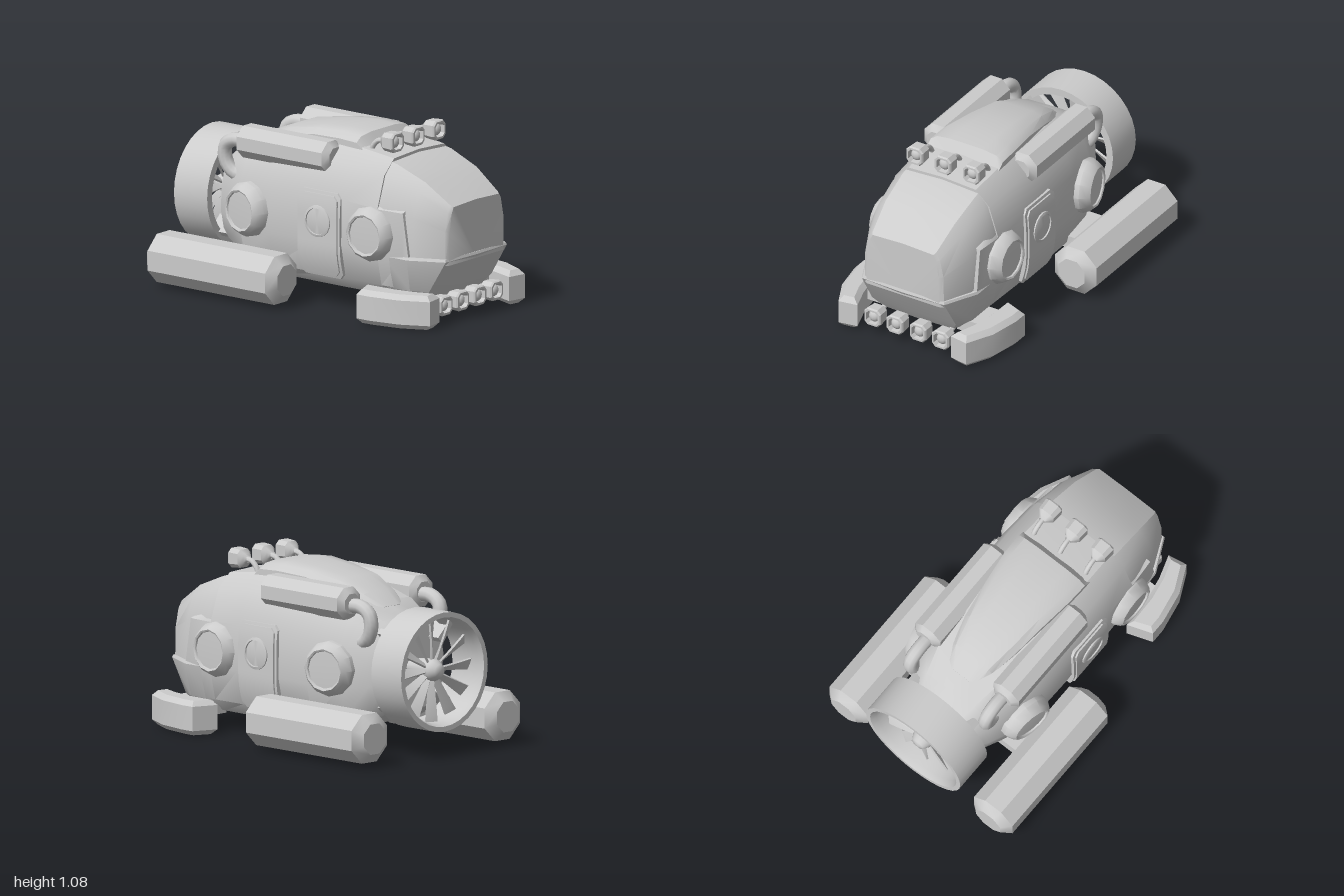
import * as THREE from 'three';
import { toCreasedNormals } from 'three/addons/utils/BufferGeometryUtils.js';

const mat = new THREE.MeshStandardMaterial({ color: 0xcccccc, side: THREE.DoubleSide });

// Loft along x: each section is [x, [z, y] points of the +z half, bottom to top]
function loft(sections) {
  const rings = sections.map(([x, half]) => {
    const mirrored = half.slice(1, -1).reverse().map(([z, y]) => [-z, y]);
    return [...half, ...mirrored].map(([z, y]) => new THREE.Vector3(x, y, z));
  });
  const n = rings[0].length, index = [];
  for (let i = 0; i < rings.length - 1; i++) {
    for (let j = 0; j < n; j++) {
      const a = i * n + j, b = i * n + (j + 1) % n;
      index.push(a, a + n, b + n, a, b + n, b);
    }
  }
  const last = (rings.length - 1) * n;
  for (let j = 1; j < n - 1; j++) index.push(0, j, j + 1, last, last + j + 1, last + j);
  return new THREE.BufferGeometry().setFromPoints(rings.flat()).setIndex(index);
}

// Hull section from bottom, top and half width; cap cuts it off level
function hullSection([x, b, t, w, cap = t]) {
  const y = f => Math.min(cap, b + (t - b) * f);
  return [x, [[0, b], [w * 0.69, b], [w * 0.89, y(0.09)], [w, y(0.33)], [w * 0.985, y(0.65)], [w * 0.825, y(0.88)], [w * 0.59, y(0.985)], [0, y(1)]]];
}

// Canopy section from top, lower and upper half width
function canopySection([x, t, w, wt]) {
  const y = f => 0.36 + (t - 0.36) * f;
  return [x, [[0, 0.36], [w, 0.36], [w * 0.985, y(0.56)], [(w + wt) / 2, y(0.86)], [wt, y(0.975)], [0, t]]];
}

const lathe = (points, sides, phi = 0) =>
  new THREE.LatheGeometry(points.map(p => new THREE.Vector2(...p)), sides, phi);

// Lathe turned so that its axis runs along +x
const latheX = (points, sides, phi) => lathe(points, sides, phi).rotateZ(-Math.PI / 2);

function tank(length, r) {
  const h = length / 2, c = r * 0.3;
  return latheX([[0, -h], [r * 0.62, -h], [r, -h + c], [r, h - c], [r * 0.62, h], [0, h]], 8, Math.PI / 8);
}

const tube = (pts, r) => new THREE.TubeGeometry(
  new THREE.CatmullRomCurve3(pts.map(p => new THREE.Vector3(...p))), 16, r, 10);

// Door panel with cut corners, curved with the hull side
function doorPanel(w, h, out) {
  const g = new THREE.BoxGeometry(w, h, 0.08, 1, 18, 1);
  const p = g.attributes.position;
  for (let i = 0; i < p.count; i++) {
    const x = p.getX(i), y = p.getY(i);
    const edge = Math.max(0, Math.abs(y) - h / 2 + 0.03);
    const bend = Math.max(0, -0.05 - y) ** 2 + 0.8 * Math.max(0, y - 0.12) ** 2;
    p.setX(i, x - Math.sign(x) * edge);
    p.setZ(i, p.getZ(i) - bend + out - 0.04);
  }
  return g.translate(0.14, 0.45, 0);
}

// Propeller blade, widening and untwisting towards the tip
function bladeGeometry() {
  const g = new THREE.BoxGeometry(0.012, 0.26, 0.075, 1, 6, 1);
  const p = g.attributes.position, v = new THREE.Vector3(), axis = new THREE.Vector3(0, 1, 0);
  for (let i = 0; i < p.count; i++) {
    v.fromBufferAttribute(p, i);
    const t = v.y / 0.26 + 0.5;
    v.z *= 0.45 + 0.55 * t;
    v.applyAxisAngle(axis, 0.95 - 0.5 * t);
    p.setXYZ(i, v.x, v.y, v.z);
  }
  return g.translate(0.11, 0.18, 0);
}

export function createModel() {
  const model = new THREE.Group();
  const add = (name, geo, parent = model, crease = 0.6) => {
    const mesh = new THREE.Mesh(toCreasedNormals(geo, crease), mat);
    mesh.name = name;
    parent.add(mesh);
    return mesh;
  };

  // Hull, stepping down at the front to leave a cheek below the canopy
  add('hull', loft([
    [-0.73, 0.26, 0.75, 0.25], [-0.66, 0.22, 0.8, 0.295], [-0.5, 0.15, 0.88, 0.36], [-0.25, 0.12, 0.95, 0.395],
    [0.1, 0.12, 0.98, 0.405], [0.32, 0.12, 0.98, 0.405], [0.56, 0.12, 0.95, 0.395],
    [0.561, 0.12, 0.95, 0.395, 0.73], [0.74, 0.12, 0.95, 0.382, 0.68], [0.78, 0.12, 0.95, 0.38, 0.4],
  ].map(hullSection)));

  // Canopy with a flat front window
  add('canopy', loft([
    [0.5, 0.945, 0.38, 0.25], [0.6, 0.925, 0.38, 0.25], [0.8, 0.845, 0.355, 0.24],
    [0.975, 0.725, 0.275, 0.22], [0.99, 0.715, 0.25, 0.21],
  ].map(canopySection)));

  // Chin: level outlines [y, half width, corner x, front half width, front x], lofted and stood upright
  const chin = loft([
    [0.12, 0.28, 0.74, 0.24, 0.82], [0.19, 0.345, 0.77, 0.29, 0.87], [0.385, 0.387, 0.78, 0.285, 0.99], [0.4, 0.38, 0.78, 0.28, 0.985],
  ].map(([y, w, xc, wf, xf]) => [y, [[0, 0.6], [w, 0.6], [w, xc], [wf, xf], [0, xf + 0.01]]]));
  add('chin', chin.rotateX(Math.PI).rotateZ(Math.PI / 2));

  // Roof fairing: [x, top, half width, base]
  add('roofFairing', loft([
    [-0.56, 0.85, 0.12, 0.78], [-0.45, 0.93, 0.15, 0.82], [-0.28, 0.995, 0.19, 0.88], [-0.05, 1.03, 0.22, 0.93],
    [0.15, 1.045, 0.245, 0.94], [0.29, 1.035, 0.25, 0.94], [0.335, 0.97, 0.25, 0.94],
  ].map(([x, t, w, b]) => [x, [[0, b], [w, b], [w, b + (t - b) * 0.55], [w * 0.82, t - 0.012], [w * 0.45, t], [0, t]]])));

  // Ducted propeller
  const prop = new THREE.Group();
  prop.name = 'propeller';
  prop.position.set(-1, 0.51, 0);
  model.add(prop);
  add('duct', latheX([[0.325, 0], [0.355, 0], [0.355, 0.25], [0.31, 0.25], [0.31, 0.04], [0.325, 0]], 32), prop);
  add('hub', latheX([[0, 0.03], [0.04, 0.04], [0.065, 0.08], [0.065, 0.16], [0.04, 0.3]], 16), prop, 0.9);
  for (let i = 0; i < 12; i++) add('blade', bladeGeometry().rotateX(i * Math.PI / 6), prop);
  for (let i = 0; i < 4; i++) {
    const strut = new THREE.BoxGeometry(0.12, 0.12, 0.04).translate(0.25, 0.27, 0);
    add('ductStrut', strut.rotateX(Math.PI / 4 + i * Math.PI / 2), prop);
  }

  // Lamp pointing along +x, a softened square with a recessed lens
  const shell = latheX([[0.02, -0.12], [0.035, -0.105], [0.058, -0.08], [0.063, -0.01], [0.056, 0], [0.044, 0], [0.04, -0.04], [0, -0.04]], 8, Math.PI / 8);
  const sp = shell.attributes.position;
  for (let i = 0; i < sp.count; i++) {
    const y = sp.getY(i), z = sp.getZ(i);
    if (Math.abs(y) < Math.abs(z)) sp.setY(i, y * 1.4);
    else sp.setZ(i, z * 1.4);
  }
  const lens = new THREE.SphereGeometry(0.036, 12, 8).scale(0.7, 1, 1).translate(-0.03, 0, 0);
  const lamp = (name, x, y, z, stem) => {
    const g = new THREE.Group();
    g.name = name;
    g.position.set(x, y, z);
    add('lampShell', shell, g);
    add('lampLens', lens, g, 1);
    add('lampStem', tube(stem, 0.016), g, 1);
    model.add(g);
  };
  for (const z of [-0.195, 0, 0.195]) {
    lamp('roofLamp', 0.56, 1.025, z, [[-0.1, 0, 0], [-0.15, -0.01, 0], [-0.19, -0.05, 0], [-0.2, -0.09, 0]]);
  }
  for (const z of [-0.235, -0.08, 0.08, 0.235]) {
    lamp('chinLamp', 0.96, 0.11, z, [[-0.1, 0, 0], [-0.14, 0.01, 0], [-0.2, 0.04, 0]]);
  }

  // Front skid outline in x and z
  const skid = new THREE.Shape([[0.52, 0.43], [0.56, 0.53], [0.63, 0.53], [0.82, 0.495], [0.965, 0.425], [0.955, 0.36], [0.84, 0.4], [0.7, 0.425]]
    .map(p => new THREE.Vector2(...p)));

  // Side equipment, built for +z and mirrored
  for (const s of [1, -1]) {
    const side = new THREE.Group();
    side.name = s > 0 ? 'frontSide' : 'backSide';
    side.scale.z = s;
    model.add(side);

    add('upperTank', tank(0.7, 0.103).translate(-0.18, 0.893, 0.295), side);
    add('tankPipe', tube([[-0.5, 0.88, 0.285], [-0.6, 0.88, 0.285], [-0.665, 0.84, 0.285], [-0.67, 0.75, 0.28], [-0.62, 0.68, 0.27], [-0.52, 0.66, 0.25]], 0.043), side, 1);

    add('lowerTank', tank(0.98, 0.157).translate(-0.485, 0.175, 0.545), side);
    add('tankMount', new THREE.BoxGeometry(0.3, 0.08, 0.25).translate(-0.4, 0.2, 0.36), side);

    const skidGeo = new THREE.ExtrudeGeometry(skid, { depth: 0.145, bevelThickness: 0.03, bevelSize: 0.03, bevelSegments: 1 });
    add('skid', skidGeo.rotateX(Math.PI / 2).translate(0, 0.178, 0), side);
    add('skidMount', new THREE.BoxGeometry(0.2, 0.08, 0.2).translate(0.68, 0.14, 0.34), side);

    // Portholes; the rear one turns with the tapering hull
    for (const [x, z, turn] of [[-0.41, 0.3, -0.2], [0.51, 0.31, 0]]) {
      const rim = lathe([[0.165, 0], [0.165, 0.09], [0.145, 0.13], [0.125, 0.15], [0.115, 0.145], [0.112, 0.135], [0, 0.14]], 12);
      const porthole = add('porthole', rim.rotateX(Math.PI / 2), side);
      porthole.position.set(x, 0.505, z);
      porthole.rotation.y = turn;
    }

    add('doorFrame', doorPanel(0.32, 0.52, 0.418), side);
    add('door', doorPanel(0.285, 0.485, 0.428), side);
    const pane = lathe([[0.1, 0], [0.095, 0.045], [0.08, 0.05], [0.078, 0.042], [0, 0.044]], 20);
    add('doorWindow', pane.rotateX(Math.PI / 2).translate(0.14, 0.53, 0.39), side);
  }
  return model;
}
